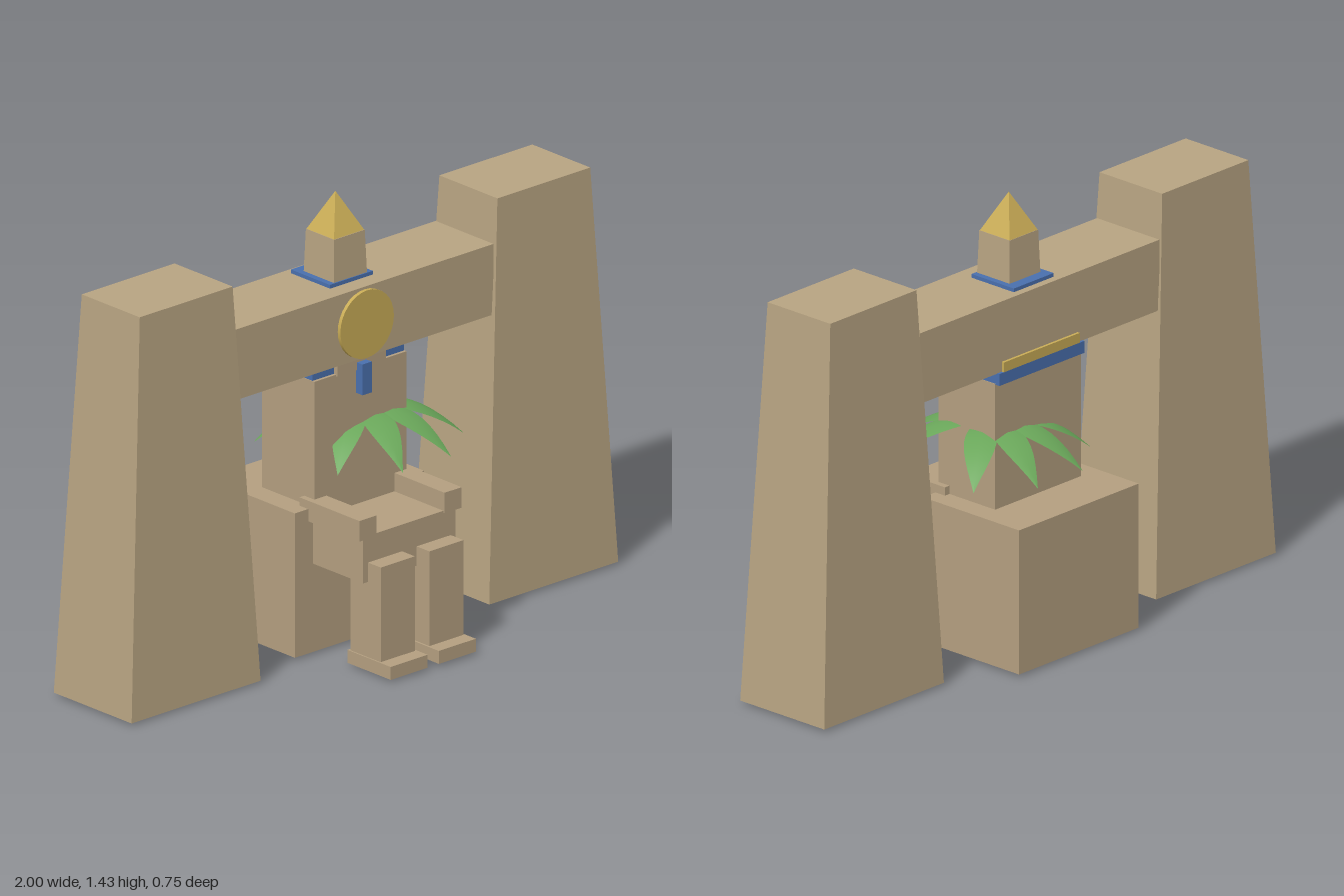
import * as THREE from 'three';

const mat = (name, color, side = THREE.FrontSide) =>
  Object.assign(new THREE.MeshStandardMaterial({ color, side }), { name });

export function createModel() {
  const root = new THREE.Group();
  const sandstone = mat('sandstone', 0xb8a482, THREE.DoubleSide);
  const statueStone = mat('statue stone', 0xb49f80);
  const gold = mat('gold', 0xc9ac56);
  const blue = mat('lapis blue', 0x4a70ae);
  const leafGreen = mat('leaf green', 0x6aa75a, THREE.DoubleSide);
  const bark = mat('bark', 0x7a5c3c);

  const add = (name, geometry, material, parent = root) => {
    const mesh = new THREE.Mesh(geometry, material);
    mesh.name = name;
    parent.add(mesh);
    return mesh;
  };

  // Box given by its limits on each axis
  const block = (name, [x0, x1], [y0, y1], [z0, z1], material, parent) => {
    const g = new THREE.BoxGeometry(x1 - x0, y1 - y0, z1 - z0);
    g.translate((x0 + x1) / 2, (y0 + y1) / 2, (z0 + z1) / 2);
    return add(name, g, material, parent);
  };

  // Box whose top is scaled in x and z; may be left open below
  const tapered = (w, h, d, sx, sz, openBelow = false) => {
    const g = new THREE.BoxGeometry(w, h, d);
    const p = g.attributes.position;
    for (let i = 0; i < p.count; i++) {
      if (p.getY(i) > 0) p.setXYZ(i, p.getX(i) * sx, p.getY(i), p.getZ(i) * sz);
    }
    if (openBelow) {
      const idx = Array.from(g.index.array);
      idx.splice(18, 6);
      g.setIndex(idx);
      g.clearGroups();
    }
    const flat = g.toNonIndexed();
    flat.computeVertexNormals();
    return flat;
  };

  // Gateway: two battered towers and a lintel
  const gate = new THREE.Group();
  gate.name = 'gateway';
  root.add(gate);
  for (const s of [-1, 1]) {
    add(s > 0 ? 'leftTower' : 'rightTower',
      tapered(0.53, 1.29, 0.35, 0.72, 0.745, true), sandstone, gate)
      .position.set(s * 0.735, 0.655, -0.065);
  }
  block('lintel', [-0.53, 0.53], [0.925, 1.155], [-0.197, 0.063], sandstone, gate);
  const disc = add('sunDisc', new THREE.CylinderGeometry(0.11, 0.11, 0.03, 32), gold, gate);
  disc.rotation.x = Math.PI / 2;
  disc.position.set(0, 1.037, 0.06);

  // Small obelisk on the lintel
  const obelisk = new THREE.Group();
  obelisk.name = 'obelisk';
  root.add(obelisk);
  block('obeliskBase', [-0.088, 0.088], [1.145, 1.167], [-0.172, 0.004], blue, obelisk);
  add('obeliskShaft', tapered(0.136, 0.14, 0.136, 0.93, 0.93), sandstone, obelisk)
    .position.set(0, 1.235, -0.068);
  const cap = new THREE.ConeGeometry(0.063 * Math.SQRT2, 0.127, 4).toNonIndexed();
  cap.rotateY(Math.PI / 4);
  cap.computeVertexNormals();
  add('obeliskCap', cap, gold, obelisk).position.set(0, 1.3665, -0.068);

  // Seated statue on its throne
  const statue = new THREE.Group();
  statue.name = 'seatedStatue';
  root.add(statue);
  block('throne', [-0.265, 0.265], [0.01, 0.48], [-0.36, 0.04], statueStone, statue);
  block('torso', [-0.19, 0.19], [0.44, 0.89], [-0.19, 0.045], statueStone, statue);
  block('lap', [-0.19, 0.19], [0.297, 0.447], [0, 0.265], statueStone, statue);
  for (const s of [-1, 1]) {
    const span = (a, b) => (s > 0 ? [a, b] : [-b, -a]);
    block('forearm', span(0.14, 0.21), [0.44, 0.507], [0, 0.27], statueStone, statue);
    block('shin', span(0.03, 0.17), [0.04, 0.36], [0.185, 0.322], statueStone, statue);
    block('foot', span(0.023, 0.175), [0.01, 0.052], [0.177, 0.372], statueStone, statue);
  }
  block('head', [-0.1, 0.1], [0.885, 1.1], [-0.15, 0.05], statueStone, statue);
  block('headdress', [-0.188, 0.188], [0.887, 0.926], [-0.206, 0.035], blue, statue);
  block('headdressBand', [-0.168, 0.168], [0.926, 0.958], [-0.206, 0], gold, statue);
  block('beard', [-0.019, 0.019], [0.81, 0.91], [0.035, 0.075], blue, statue);

  // Palm: leaning trunk and a ring of arching leaves
  const palm = new THREE.Group();
  palm.name = 'palm';
  root.add(palm);
  const lean = new THREE.CatmullRomCurve3([
    new THREE.Vector3(0.01, 0.002, -0.066),
    new THREE.Vector3(0.035, 0.36, -0.066),
    new THREE.Vector3(0.098, 0.71, -0.066),
  ]);
  add('palmTrunk', new THREE.TubeGeometry(lean, 10, 0.022, 8), bark, palm);

  const leaf = new THREE.PlaneGeometry(1, 1, 2, 10);
  const lp = leaf.attributes.position;
  for (let i = 0; i < lp.count; i++) {
    const t = 0.5 - lp.getY(i);
    const side = lp.getX(i) * 2;
    const half = 0.05 * Math.sin(Math.PI * Math.pow(t, 0.9));
    const y = 0.71 + 0.1 * t - 0.21 * t * t - 0.008 * Math.abs(side) * Math.sin(Math.PI * t);
    lp.setXYZ(i, side * half, y, 0.322 * t);
  }
  leaf.computeVertexNormals();
  // Make the upper side the front face
  if (leaf.attributes.normal.getY(16) < 0) {
    leaf.setIndex(Array.from(leaf.index.array).reverse());
    leaf.computeVertexNormals();
  }
  for (const deg of [18, 54, 126, 162, 198, 234, 306, 342]) {
    const m = add('palmLeaf', leaf, leafGreen, palm);
    m.position.set(0.097, 0, -0.068);
    m.rotation.y = THREE.MathUtils.degToRad(deg);
  }
  return root;
}
